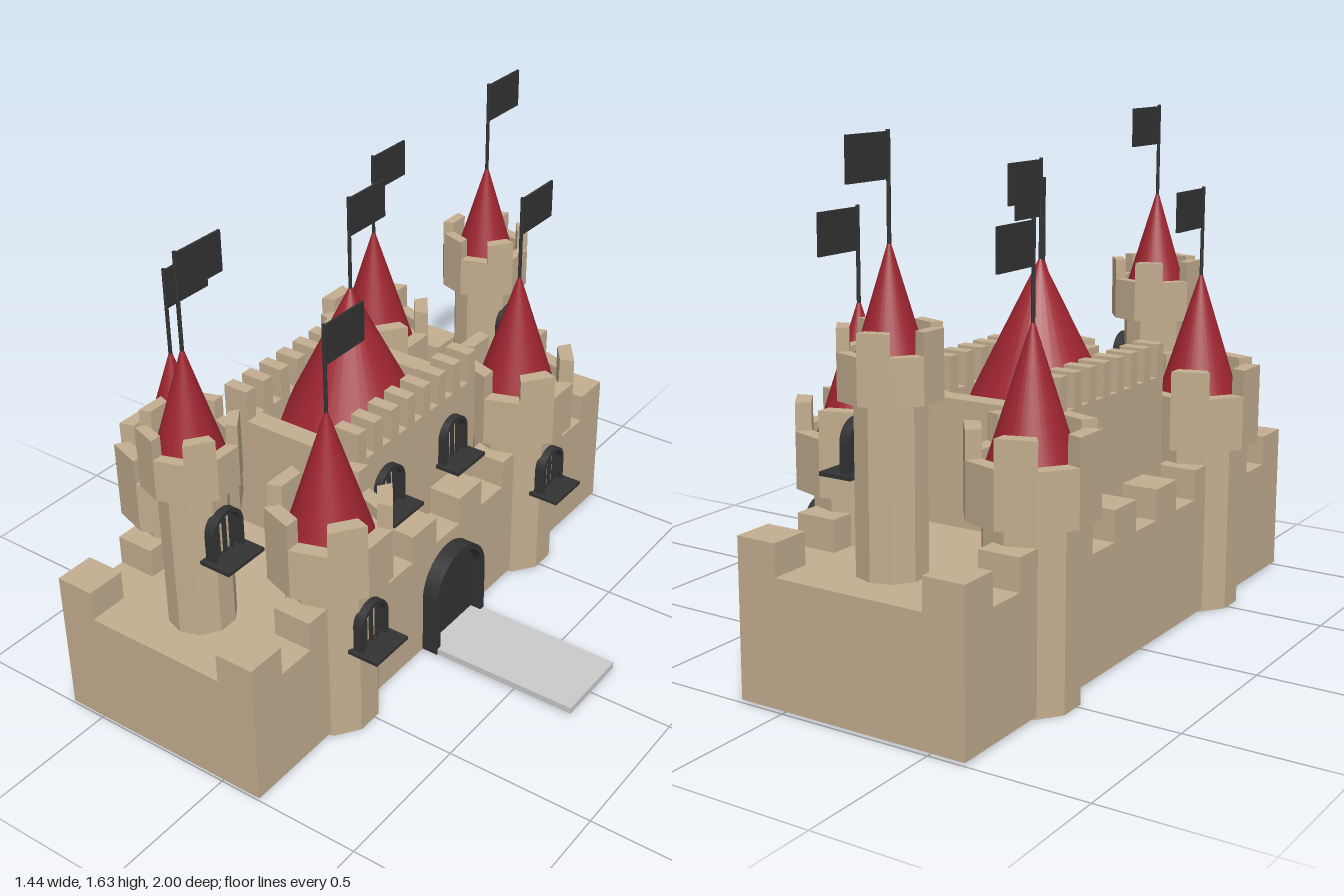
import * as THREE from 'three';

const mat = (color) => new THREE.MeshStandardMaterial({ color, flatShading: true });
const stone = mat(0xc4ae90);
const dark = mat(0x333333);
const grey = mat(0xcccccc);
const roofRed = new THREE.MeshStandardMaterial({ color: 0x9e2530 });

function add(parent, name, geometry, material) {
  const mesh = new THREE.Mesh(geometry, material);
  mesh.name = name;
  parent.add(mesh);
  return mesh;
}

// Box given by its lower and upper corners
function block(parent, name, material, x0, x1, y0, y1, z0, z1) {
  const mesh = add(parent, name, new THREE.BoxGeometry(x1 - x0, y1 - y0, z1 - z0), material);
  mesh.position.set((x0 + x1) / 2, (y0 + y1) / 2, (z0 + z1) / 2);
  return mesh;
}

function group(parent, name, x = 0, y = 0, z = 0) {
  const g = new THREE.Group();
  g.name = name;
  g.position.set(x, y, z);
  parent.add(g);
  return g;
}

// Ten-sided drum with flat faces towards +x and -x
function drum(parent, name, r, y0, y1) {
  add(parent, name, new THREE.CylinderGeometry(r, r, y1 - y0, 10), stone).position.y = (y0 + y1) / 2;
}

// One straight side of a ten-sided parapet, centred on angle a
function parapetSide(parent, name, a, ri, ro, y0, y1) {
  const h = Math.PI / 10;
  const corner = (r, t) => new THREE.Vector2(r * Math.cos(t), r * Math.sin(t));
  const shape = new THREE.Shape([corner(ri, a - h), corner(ro, a - h), corner(ro, a + h), corner(ri, a + h)]);
  const geo = new THREE.ExtrudeGeometry(shape, { depth: y1 - y0, bevelEnabled: false });
  geo.rotateX(-Math.PI / 2);
  add(parent, name, geo, stone).position.y = y0;
}

function coneRoof(parent, r, y0, apex) {
  add(parent, 'coneRoof', new THREE.ConeGeometry(r, apex - y0, 32), roofRed).position.y = (y0 + apex) / 2;
}

// Pole with a flag streaming towards -z
function flag(parent, y0, top) {
  const pole = add(parent, 'flagPole', new THREE.CylinderGeometry(0.006, 0.006, top - y0, 8), dark);
  pole.position.y = (y0 + top) / 2;
  block(parent, 'flag', dark, -0.004, 0.004, top - 0.132, top - 0.005, -0.185, 0);
}

function archPath(Type, half, bottom, spring) {
  const p = new Type();
  p.moveTo(-half, bottom);
  p.lineTo(half, bottom);
  p.lineTo(half, spring);
  p.absarc(0, spring, half, 0, Math.PI, false);
  p.lineTo(-half, bottom);
  return p;
}

// Arch facing +x, hollow when rim is given
function arch(parent, name, half, height, depth, rim) {
  const shape = archPath(THREE.Shape, half, 0, height - half);
  if (rim) shape.holes.push(archPath(THREE.Path, half - rim, rim / 2, height - half));
  const geo = new THREE.ExtrudeGeometry(shape, { depth, bevelEnabled: false, curveSegments: 14 });
  geo.rotateY(Math.PI / 2);
  return add(parent, name, geo, dark);
}

// Barred window with a small balcony, its wall at x
function barredWindow(parent, x, y, z) {
  const g = group(parent, 'window', x, y, z);
  block(g, 'balcony', dark, -0.02, 0.09, 0, 0.012, -0.081, 0.081);
  arch(g, 'windowFrame', 0.067, 0.165, 0.035, 0.013).position.x = -0.008;
  for (const bz of [-0.03, 0, 0.03]) {
    const top = 0.098 + Math.sqrt(0.06 ** 2 - bz ** 2);
    block(g, 'windowBar', dark, 0.004, 0.014, 0.01, top, bz - 0.005, bz + 0.005);
  }
}

function tower(parent, name, x, z, d) {
  const g = group(parent, name, x, 0, z);
  drum(g, 'shaft', d.shaftR, 0, d.bandY);
  drum(g, 'battlementBand', d.bandR, d.bandY, d.floorY);
  for (let i = 0; i < 10; i++) {
    // crenel faces +x, then merlons alternate around
    const top = i % 2 ? d.merlonY : d.crenelY;
    parapetSide(g, i % 2 ? 'merlon' : 'crenel', i * Math.PI / 5, d.innerR, d.bandR, d.floorY, top);
  }
  coneRoof(g, d.coneR, d.floorY, d.apex);
  flag(g, d.apex - 0.03, d.flagTop);
  return g;
}

export function createModel() {
  const castle = new THREE.Group();
  castle.name = 'castle';

  // Outer wall block with merlons along the long sides
  const X0 = -0.62, X1 = 0.147, T = 0.134;
  block(castle, 'wallBlock', stone, X0, X1, 0.01, 0.4, -1, 1);
  for (let i = 0; i < 8; i++) {
    const z = -1 + i * (2 - T) / 7;
    block(castle, 'wallMerlon', stone, X0, X0 + T, 0.4, 0.5, z, z + T);
    block(castle, 'wallMerlon', stone, X1 - T, X1, 0.4, 0.5, z, z + T);
  }

  // Keep with a sunken roof terrace and merlons on its long sides
  const keep = group(castle, 'keep', -0.235);
  block(keep, 'keepBody', stone, -0.265, 0.265, 0.4, 0.7, -0.326, 0.326);
  for (const s of [-1, 1]) {
    const side = group(keep, 'keepParapet');
    block(side, 'sideWall', stone, s * 0.22 - 0.045, s * 0.22 + 0.045, 0.7, 0.8, -0.326, 0.326);
    block(side, 'endWall', stone, -0.175, 0.175, 0.7, 0.8, s * 0.291 - 0.035, s * 0.291 + 0.035);
    for (let i = 0; i < 8; i++) {
      const z = -0.326 + i * 0.087;
      block(side, 'keepMerlon', stone, s * 0.22 - 0.045, s * 0.22 + 0.045, 0.8, 0.907, z, z + 0.043);
    }
    barredWindow(castle, 0.03, 0.56, s * 0.18);
  }
  coneRoof(keep, 0.252, 0.7, 1.205);
  flag(keep, 1.18, 1.505);

  // Four corner towers and two tall towers
  const corner = { shaftR: 0.147, bandR: 0.2, innerR: 0.15, bandY: 0.555, floorY: 0.69, crenelY: 0.73,
    merlonY: 0.815, coneR: 0.137, apex: 1.12, flagTop: 1.39 };
  const tall = { shaftR: 0.107, bandR: 0.153, innerR: 0.116, bandY: 0.905, floorY: 0.99, crenelY: 1.04,
    merlonY: 1.105, coneR: 0.107, apex: 1.345, flagTop: 1.632 };
  for (const s of [-1, 1]) {
    tower(castle, 'backCornerTower', -0.53, s * 0.525, corner);
    barredWindow(tower(castle, 'gateCornerTower', 0.07, s * 0.525, corner), 0.14, 0.322, 0);
    barredWindow(tower(castle, 'tallTower', -0.232, s * 0.782, tall), 0.102, 0.67, 0);
  }

  // Gate and lowered drawbridge
  const gate = group(castle, 'gate', 0.14, 0.01, 0);
  arch(gate, 'gateFrame', 0.142, 0.35, 0.065, 0.02);
  arch(gate, 'gateDoor', 0.13, 0.338, 0.025);
  block(castle, 'drawbridge', grey, 0.16, 0.718, 0.01, 0.033, -0.138, 0.138);

  return castle;
}
